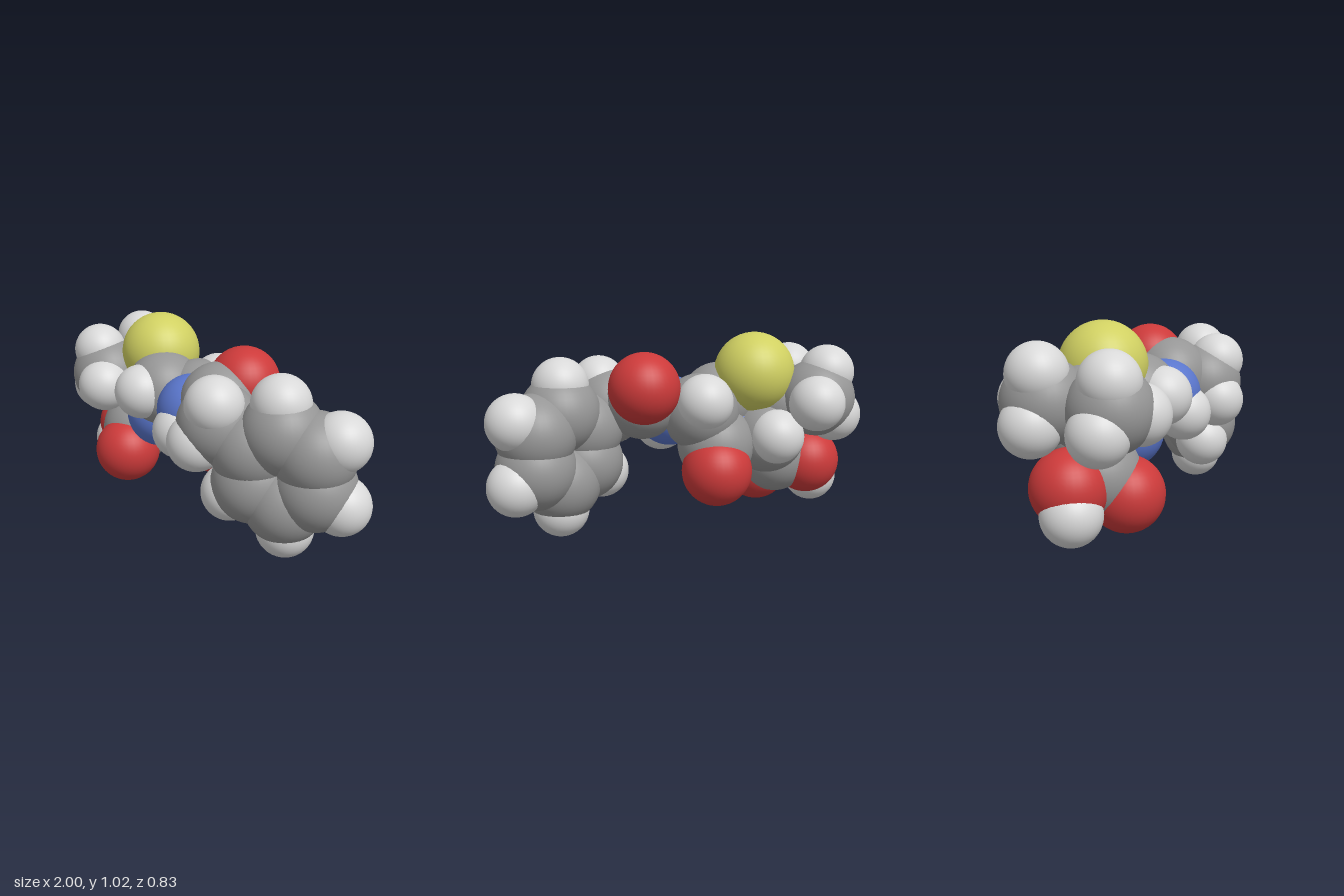
import * as THREE from 'three';

// One entry per element: sphere radius and flat colour
const ELEMENTS = {
  carbon: { radius: 0.205, color: 0x969696 },
  hydrogen: { radius: 0.145, color: 0xd8d8d8 },
  oxygen: { radius: 0.184, color: 0xcc3a3a },
  nitrogen: { radius: 0.187, color: 0x5a76cc },
  sulfur: { radius: 0.2155, color: 0xd0d062 },
};

export function createModel() {
  const model = new THREE.Group();
  model.name = 'spaceFillingMolecule';

  // Shared sphere and material for each element
  const kit = {};
  for (const [name, { radius, color }] of Object.entries(ELEMENTS)) {
    const material = new THREE.MeshStandardMaterial({ color });
    material.name = name;
    kit[name] = { geometry: new THREE.SphereGeometry(radius, 36, 24), material };
  }

  const addGroup = (name) => {
    const group = new THREE.Group();
    group.name = name;
    model.add(group);
    return group;
  };
  const atom = (group, element, name, position) => {
    const mesh = new THREE.Mesh(kit[element].geometry, kit[element].material);
    mesh.name = name;
    mesh.position.set(...position);
    group.add(mesh);
  };

  // Six-carbon ring: carbons on a tilted hexagon, hydrogens further out
  const ring = addGroup('sixRing');
  const center = new THREE.Vector3(0.605, 0.467, 0.012);
  const up = new THREE.Vector3(-0.01, 0.318, 0.016);
  const lowRight = new THREE.Vector3(0.247, -0.145, -0.145);
  const upRight = up.clone().add(lowRight);
  for (const sign of [1, -1]) {
    [up, upRight, lowRight].forEach((spoke, i) => {
      const at = (k) => center.clone().addScaledVector(spoke, sign * k).toArray();
      atom(ring, 'carbon', 'ringCarbon', at(0.56));
      // the upper left carbon carries the side chain instead of a hydrogen
      if (!(sign === -1 && i === 2)) atom(ring, 'hydrogen', 'ringHydrogen', at(1));
    });
  }

  // Chain linking the ring to the fused core
  const chain = addGroup('linkingChain');
  atom(chain, 'carbon', 'chainCarbon', [0.312, 0.64, 0.172]);
  atom(chain, 'hydrogen', 'chainHydrogenUpper', [0.355, 0.757, 0.23]);
  atom(chain, 'hydrogen', 'chainHydrogenLower', [0.265, 0.555, 0.27]);
  atom(chain, 'carbon', 'amideCarbon', [0.165, 0.685, 0.04]);
  atom(chain, 'oxygen', 'amideOxygen', [0.19, 0.77, -0.095]);
  atom(chain, 'nitrogen', 'amideNitrogen', [0.0, 0.61, 0.09]);
  atom(chain, 'hydrogen', 'amideHydrogen', [0.02, 0.52, 0.185]);

  // Fused four- and five-membered rings
  const core = addGroup('fusedCore');
  atom(core, 'carbon', 'squareCarbon', [-0.125, 0.62, -0.05]);
  atom(core, 'hydrogen', 'squareHydrogen', [-0.11, 0.695, -0.17]);
  atom(core, 'carbon', 'bridgeCarbon', [-0.275, 0.655, 0.075]);
  atom(core, 'hydrogen', 'bridgeHydrogen', [-0.285, 0.66, 0.215]);
  atom(core, 'carbon', 'lactamCarbon', [-0.21, 0.445, -0.065]);
  atom(core, 'oxygen', 'lactamOxygen', [-0.18, 0.325, -0.165]);
  atom(core, 'nitrogen', 'bridgeNitrogen', [-0.348, 0.488, 0.05]);
  atom(core, 'sulfur', 'sulfurAtom', [-0.44, 0.812, -0.022]);
  atom(core, 'carbon', 'quaternaryCarbon', [-0.617, 0.64, 0.0]);
  atom(core, 'carbon', 'acidBearingCarbon', [-0.51, 0.47, -0.05]);
  atom(core, 'hydrogen', 'acidBearingHydrogen', [-0.51, 0.49, -0.18]);

  // Methyl groups: a carbon with three hydrogens
  const methyls = {
    frontMethyl: [[-0.698, 0.66, 0.165],
      [-0.595, 0.63, 0.26], [-0.745, 0.792, 0.19], [-0.81, 0.57, 0.17]],
    backMethyl: [[-0.75, 0.68, -0.145],
      [-0.69, 0.675, -0.275], [-0.81, 0.815, -0.14], [-0.855, 0.585, -0.15]],
  };
  for (const [name, [carbon, ...hydrogens]] of Object.entries(methyls)) {
    const group = addGroup(name);
    atom(group, 'carbon', 'methylCarbon', carbon);
    hydrogens.forEach((p) => atom(group, 'hydrogen', 'methylHydrogen', p));
  }

  // Acid group
  const acid = addGroup('acidGroup');
  atom(acid, 'carbon', 'acidCarbon', [-0.6, 0.33, 0.04]);
  atom(acid, 'oxygen', 'acidOxygen', [-0.54, 0.232, 0.157]);
  atom(acid, 'oxygen', 'hydroxylOxygen', [-0.77, 0.3, -0.01]);
  atom(acid, 'hydrogen', 'hydroxylHydrogen', [-0.825, 0.195, 0.035]);

  return model;
}
